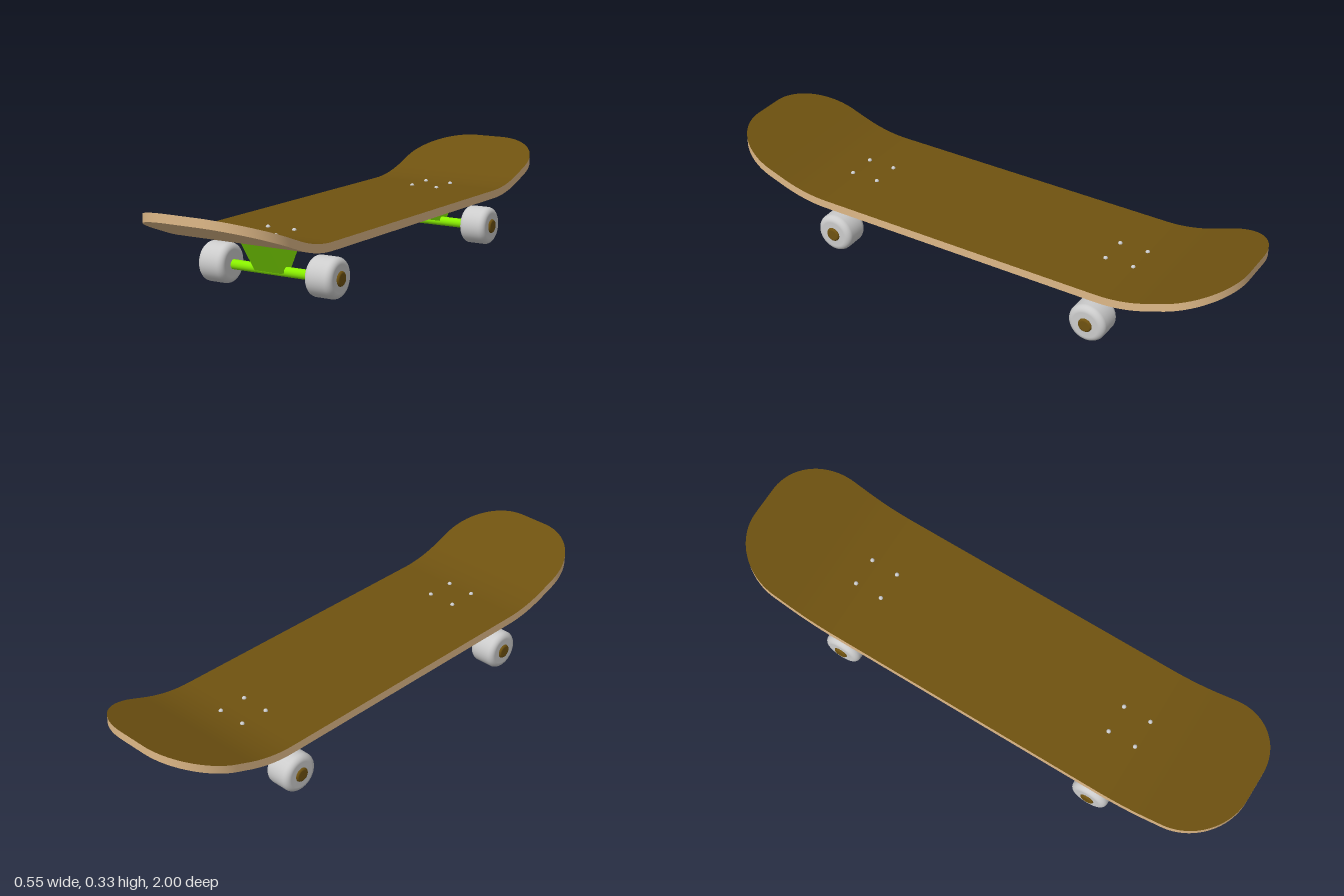
import * as THREE from 'three';

const mat = (color, side = THREE.FrontSide) => new THREE.MeshStandardMaterial({ color, side });
const WOOD = mat(0xdeb887), GRIP = mat(0x6f5210), GREEN = mat(0x88ee00), GREY = mat(0xcccccc);

const HALF_WIDTH = 0.26, CORNER = 0.205, BOTTOM = 0.171, THICK = 0.03;

// Height gained by the upturned nose and tail
function lift(z) {
  const a = Math.abs(z), start = 0.55, end = 0.74, slope = 0.366;
  if (a < start) return 0;
  if (a < end) return slope * (a - start) ** 2 / (2 * (end - start));
  return slope * ((end - start) / 2 + a - end);
}

// Half width and z of each station along the board, tail to nose
function stations() {
  const half = [[HALF_WIDTH, 0]];
  for (let i = 0; i <= 12; i++) half.push([HALF_WIDTH, 0.55 + 0.19 * i / 12]);
  for (let i = 0; i <= 24; i++) {
    const t = i / 24 * Math.PI / 2;
    half.push([HALF_WIDTH - CORNER + CORNER * Math.cos(t), 1 - CORNER + CORNER * Math.sin(t)]);
  }
  const back = half.slice(1).reverse().map(([w, z]) => [w, -z]);
  return [...back, ...half];
}

// Surface between two rows of points
function strip(a, b) {
  const index = [], n = a.length;
  for (let i = 0; i < n - 1; i++) index.push(i, i + 1, n + i, i + 1, n + i + 1, n + i);
  const g = new THREE.BufferGeometry().setFromPoints([...a, ...b]);
  g.setIndex(index);
  g.computeVertexNormals();
  return g;
}

function add(parent, name, geometry, material, x = 0, y = 0, z = 0) {
  const m = new THREE.Mesh(geometry, material);
  m.name = name;
  m.position.set(x, y, z);
  parent.add(m);
  return m;
}

function makeDeck() {
  const deck = new THREE.Group();
  deck.name = 'deck';
  const st = stations();
  const row = (side, h) => st.map(([w, z]) => new THREE.Vector3(side * w, BOTTOM + h + lift(z), z));
  add(deck, 'gripTop', strip(row(-1, THICK), row(1, THICK)), GRIP);
  add(deck, 'underside', strip(row(1, 0), row(-1, 0)), WOOD);
  // Rim runs once round the outline, starting in the middle of the tail
  const loop = h => {
    const mid = new THREE.Vector3(0, BOTTOM + h + lift(-1), -1);
    return [mid, ...row(1, h), ...row(-1, h).reverse(), mid.clone()];
  };
  add(deck, 'rim', strip(loop(THICK), loop(0)), WOOD);
  return deck;
}

// Solid disc with rounded edges, its axis along x
function roundedDisc(radius, width, fillet) {
  const pts = [new THREE.Vector2(0, -width / 2)];
  for (const s of [-1, 1]) {
    for (let i = 0; i <= 8; i++) {
      const t = (s < 0 ? i - 8 : i) / 8 * Math.PI / 2;
      pts.push(new THREE.Vector2(radius - fillet + fillet * Math.cos(t),
        s * (width / 2 - fillet) + fillet * Math.sin(t)));
    }
  }
  pts.push(new THREE.Vector2(0, width / 2));
  return new THREE.LatheGeometry(pts, 40).rotateZ(Math.PI / 2);
}

// Wedge hanger, wide under the deck and narrow at the axle
function hangerGeometry() {
  const s = new THREE.Shape();
  s.moveTo(-0.1, 0.173);
  s.lineTo(-0.025, 0.068);
  s.lineTo(0.025, 0.068);
  s.lineTo(0.1, 0.173);
  s.closePath();
  return new THREE.ExtrudeGeometry(s, { depth: 0.108, bevelEnabled: false })
    .translate(0, 0, -0.054).rotateY(Math.PI / 2);
}

function makeTruck(name, z, axleZ, axleY) {
  const truck = new THREE.Group();
  truck.name = name;
  add(truck, 'hanger', hangerGeometry(), GREEN, 0, 0, z);
  add(truck, 'axle', new THREE.CylinderGeometry(0.017, 0.017, 0.4, 24).rotateZ(Math.PI / 2),
    GREEN, 0, axleY - 0.003, axleZ);
  for (const s of [-1, 1]) {
    add(truck, s > 0 ? 'leftWheel' : 'rightWheel', roundedDisc(0.07, 0.104, 0.022),
      GREY, s * 0.215, axleY, axleZ);
    add(truck, s > 0 ? 'leftHub' : 'rightHub', roundedDisc(0.026, 0.04, 0.008),
      GRIP, s * 0.254, axleY, axleZ);
    // Mounting bolts, just proud of the deck
    for (const k of [-1, 1]) {
      const bz = z + k * 0.053;
      add(truck, 'bolt', new THREE.SphereGeometry(0.008, 12, 8), GREY,
        s * 0.053, BOTTOM + THICK + lift(bz), bz);
    }
  }
  return truck;
}

export function createModel() {
  const board = new THREE.Group();
  board.name = 'skateboard';
  board.add(makeDeck());
  board.add(makeTruck('frontTruck', 0.522, 0.516, 0.0725));
  board.add(makeTruck('rearTruck', -0.531, -0.521, 0.07));
  return board;
}
